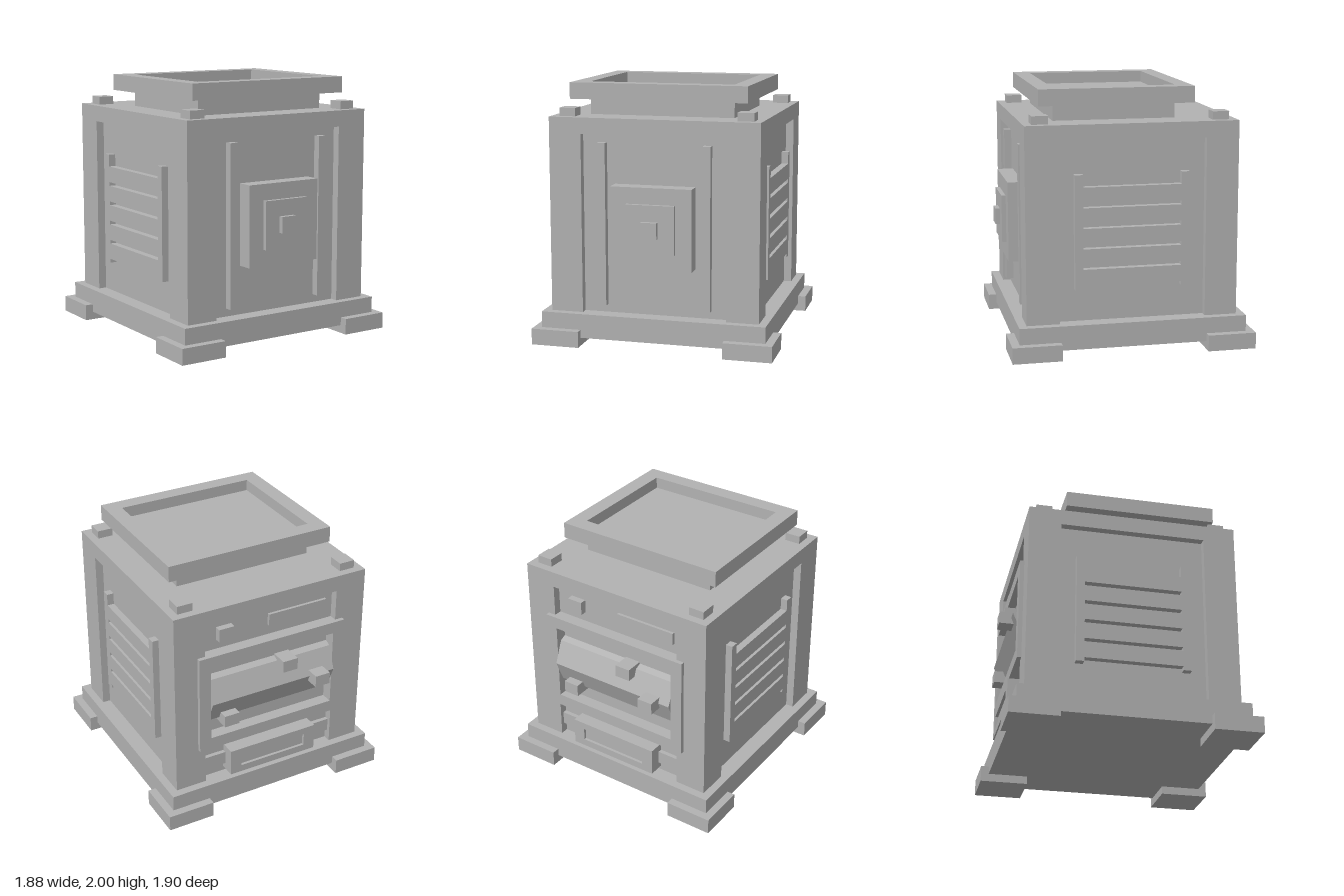
import * as THREE from 'three';

export function createModel() {
  const model = new THREE.Group();
  const grey = new THREE.MeshStandardMaterial({ color: 0xb2b2b2, flatShading: true });
  grey.name = 'plain grey';

  // Box given by its bounds on each axis
  function box(name, [x0, x1], [y0, y1], [z0, z1], parent = model) {
    const mesh = new THREE.Mesh(new THREE.BoxGeometry(x1 - x0, y1 - y0, z1 - z0), grey);
    mesh.position.set((x0 + x1) / 2, (y0 + y1) / 2, (z0 + z1) / 2);
    mesh.name = name;
    parent.add(mesh);
    return mesh;
  }

  // Rectangular frame with a rectangular hole, extruded along +z
  function frame(name, w, h, holeW, holeH, depth) {
    const rect = (Type, a, b) => {
      const p = new Type();
      p.moveTo(-a / 2, -b / 2);
      p.lineTo(a / 2, -b / 2);
      p.lineTo(a / 2, b / 2);
      p.lineTo(-a / 2, b / 2);
      p.closePath();
      return p;
    };
    const shape = rect(THREE.Shape, w, h);
    shape.holes.push(rect(THREE.Path, holeW, holeH));
    const mesh = new THREE.Mesh(new THREE.ExtrudeGeometry(shape, { depth, bevelEnabled: false }), grey);
    mesh.name = name;
    model.add(mesh);
    return mesh;
  }

  // Body and base are centred slightly forward
  const c = 0.0125;
  box('base', [-0.875, 0.875], [0.0625, 0.25], [c - 0.875, c + 0.875]);
  box('core', [-0.75, 0.75], [0.25, 1.625], [c - 0.75, c + 0.75]);
  box('topSlab', [-0.8125, 0.8125], [1.625, 1.75], [c - 0.8125, c + 0.8125]);

  // Feet, corner posts and top studs
  const span = (s, a, b, o = 0) => (s > 0 ? [o + a, o + b] : [o - b, o - a]);
  for (const sx of [-1, 1]) for (const sz of [-1, 1]) {
    box('foot', span(sx, 0.5625, 0.9375), [0, 0.125], span(sz, 0.5625, 0.9375, c));
    box('cornerPost', span(sx, 0.5625, 0.8125), [0.25, 1.625], span(sz, 0.5625, 0.8125, c));
    box('stud', span(sx, 0.625, 0.75), [1.75, 1.8125], span(sz, 0.625, 0.75, c));
  }

  // Neck and tray on top
  box('neck', [-0.5625, 0.5625], [1.75, 1.91], [-0.3625, 0.575]);
  const tray = frame('trayRim', 1.375, 1.1875, 1.125, 0.9375, 0.125);
  tray.rotation.x = -Math.PI / 2;
  tray.position.set(0, 1.875, 0.106);

  // Louvred grilles on both sides
  for (const s of [-1, 1]) {
    const grille = new THREE.Group();
    grille.name = s > 0 ? 'leftGrille' : 'rightGrille';
    const depth = span(s, 0.75, 0.805);
    for (const z of [0.39, -0.425]) box('grilleBar', depth, [0.5, 1.375], [z, z + 0.0635], grille);
    for (let i = 0; i < 5; i++) {
      const y = 0.531 + i * 0.156;
      box('slat', depth, [y, y + 0.126], [-0.3625, 0.39], grille);
    }
    model.add(grille);
  }

  // Front strips and stepped plate
  for (const s of [-1, 1]) box('frontStrip', span(s, 0.375, 0.4375), [0.3125, 1.5625], [0.76, 0.82]);
  box('frontPlate', [-0.3125, 0.3125], [0.625, 1.25], [0.76, 0.8875]);
  box('middlePlate', [-0.1875, 0.1875], [0.755, 1.125], [0.8875, 0.92]);
  box('frontButton', [-0.0625, 0.0625], [0.875, 1], [0.92, 0.955]);

  // Back frame around an eight-sided drum
  frame('backFrame', 1.25, 0.81, 1.06, 0.62, 0.1).position.set(0, 0.972, -0.832);
  const drum = new THREE.Mesh(new THREE.CylinderGeometry(0.25, 0.25, 1.06, 8), grey);
  drum.name = 'drum';
  drum.rotation.z = Math.PI / 2;
  drum.position.set(0, 0.975, -0.61);
  model.add(drum);

  // Knobs on the drum
  box('longKnob', [-0.4375, -0.3125], [0.925, 1.02], [-0.95, -0.78]);
  box('upperKnob', [-0.1875, -0.0625], [1.093, 1.1875], [-0.88, -0.74]);
  box('lowerKnob', [0.3125, 0.4375], [0.76, 0.855], [-0.88, -0.74]);

  // Details above and below the frame
  box('backButton', [0.3125, 0.4375], [1.455, 1.56], [-0.79, -0.73]);
  box('backPlate', [-0.5, 0], [1.46, 1.555], [-0.76, -0.73]);
  box('lowerRail', [-0.5625, 0.5625], [0.335, 0.44], [-0.77, -0.73]);
  frame('lowerBoxRim', 0.75, 0.215, 0.5625, 0.1, 0.03).position.set(0, 0.392, -0.862);
  box('lowerBox', [-0.375, 0.375], [0.285, 0.4995], [-0.84, -0.73]);

  return model;
}
